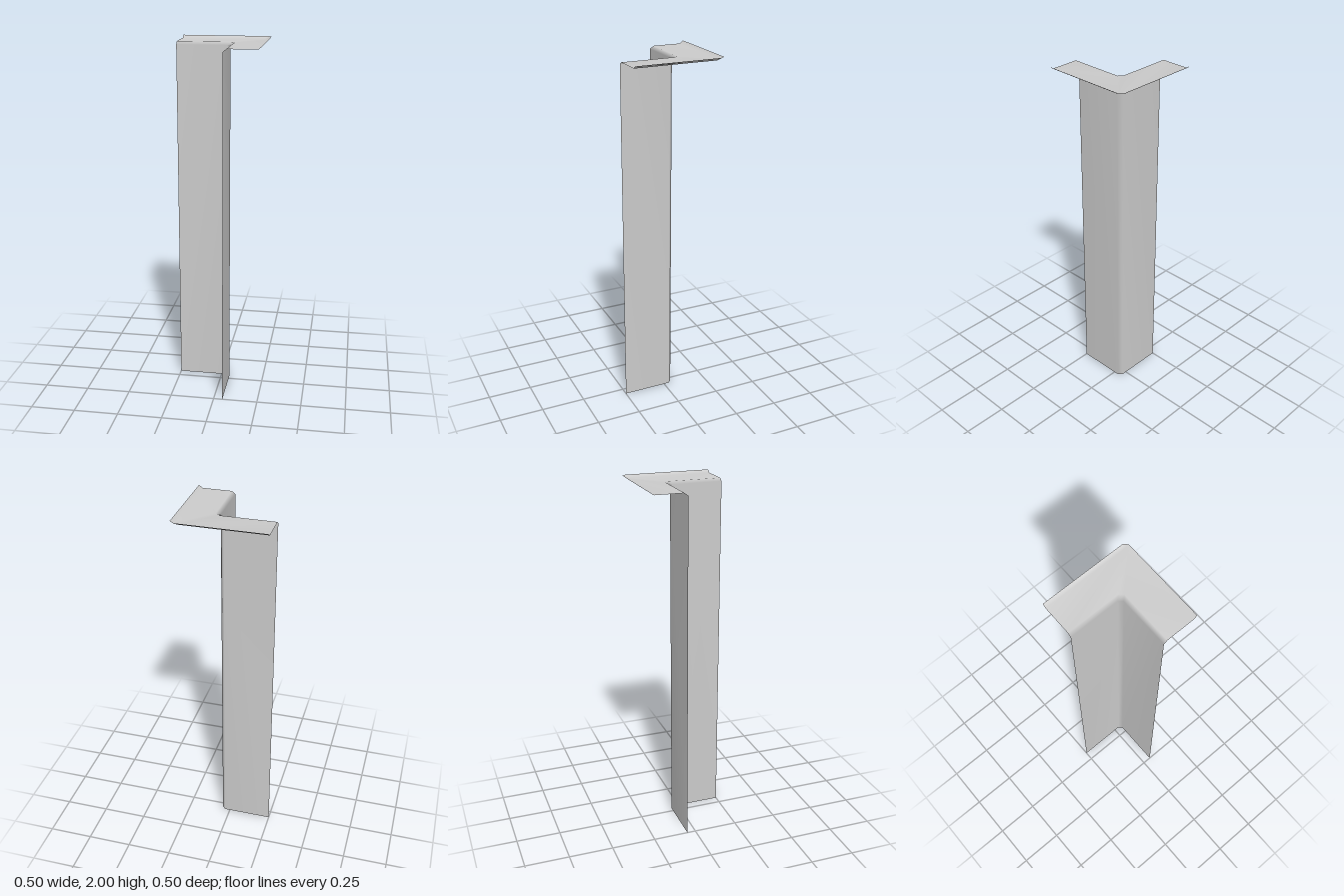
import * as THREE from 'three';

// Sheet-metal corner trim: one bent profile swept around an L-shaped path.
export function createModel() {
  // Profile as [outward offset, height]: wall, small bend, flat flange, upturned lip
  const profile = [[0, 0], [0, 1.97], [0.02, 1.985], [0.18, 1.985], [0.2, 2]];

  // Plan of the L for a given outward offset, with a chamfered corner
  const plan = (o) => [
    [-0.25, -0.05 - o],
    [0.03 + o, -0.05 - o],
    [0.05 + o, -0.03 - o],
    [0.05 + o, 0.25],
  ];

  const positions = [];
  const indices = [];
  const cols = 4;
  profile.forEach(([offset, y], j) => {
    plan(offset).forEach(([x, z], i) => {
      positions.push(x, y, z);
      if (j === 0 || i === 0) return;
      const d = j * cols + i;
      const c = d - 1;
      const b = d - cols;
      const a = b - 1;
      indices.push(a, b, d, a, d, c);
    });
  });

  const geometry = new THREE.BufferGeometry();
  geometry.setAttribute('position', new THREE.Float32BufferAttribute(positions, 3));
  geometry.setIndex(indices);
  geometry.computeVertexNormals(); // shared vertices keep the bends smooth

  const trim = new THREE.Mesh(
    geometry,
    new THREE.MeshStandardMaterial({ color: 0xcccccc, side: THREE.DoubleSide })
  );
  trim.name = 'cornerTrim';

  const group = new THREE.Group();
  group.name = 'flangedCornerTrim';
  group.add(trim);
  return group;
}
